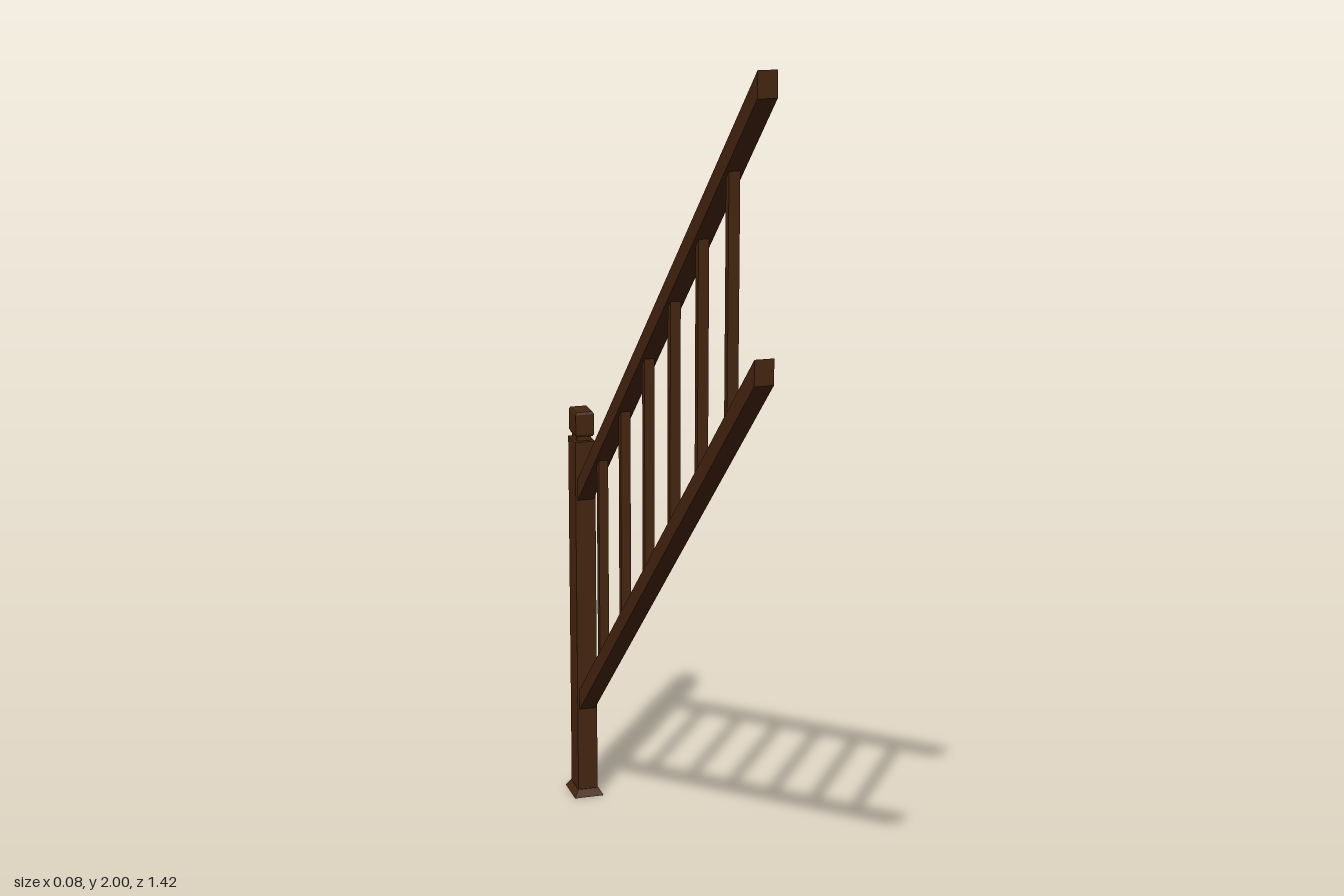
import * as THREE from 'three';

const POST_Z = -0.661;
const SLOPE = 0.872;

// Box from y0 to y1 whose bottom and top outlines [x, z] may differ
function taperedBox(y0, y1, bottom, top) {
  const geo = new THREE.BoxGeometry(1, y1 - y0, 1);
  const p = geo.attributes.position;
  for (let i = 0; i < p.count; i++) {
    const size = p.getY(i) > 0 ? top : bottom;
    p.setX(i, p.getX(i) * size[0]);
    p.setZ(i, p.getZ(i) * size[1]);
  }
  geo.translate(0, (y0 + y1) / 2, 0);
  geo.computeVertexNormals();
  return geo;
}

// Box along z sheared upward, so that its ends stay vertical
function slopedBox(width, height, z0, z1, yAtZero) {
  const geo = new THREE.BoxGeometry(width, height, z1 - z0);
  geo.translate(0, yAtZero, (z0 + z1) / 2);
  const p = geo.attributes.position;
  for (let i = 0; i < p.count; i++) p.setY(i, p.getY(i) + SLOPE * p.getZ(i));
  geo.computeVertexNormals();
  return geo;
}

export function createModel() {
  const model = new THREE.Group();
  const wood = new THREE.MeshStandardMaterial({ color: 0x47260f });
  wood.name = 'darkWood';

  const add = (name, geo, parent) => {
    const mesh = new THREE.Mesh(geo, wood);
    mesh.name = name;
    parent.add(mesh);
    return mesh;
  };

  // Newel post: flared foot, shaft, narrow neck and bevelled cap
  const post = new THREE.Group();
  post.name = 'newelPost';
  post.position.z = POST_Z;
  model.add(post);
  add('foot', taperedBox(0, 0.018, [0.075, 0.094], [0.052, 0.072]), post);
  add('shaft', taperedBox(0.01, 0.93, [0.05, 0.068], [0.05, 0.068]), post);
  add('neck', taperedBox(0.925, 0.95, [0.036, 0.046], [0.036, 0.046]), post);
  const rings = [[0.942, 0.04, 0.06], [0.948, 0.046, 0.066], [0.998, 0.046, 0.066], [1.004, 0.04, 0.06]];
  for (let i = 0; i < 3; i++) {
    const [y0, x0, z0] = rings[i];
    const [y1, x1, z1] = rings[i + 1];
    add('cap' + (i + 1), taperedBox(y0, y1, [x0, z0], [x1, z1]), post);
  }

  // Handrail and lower rail
  const topY = 1.356;
  const lowY = 0.808;
  add('handrail', slopedBox(0.04, 0.053, -0.635, 0.708, topY), model);
  add('lowerRail', slopedBox(0.04, 0.053, -0.635, 0.708, lowY), model);

  // Balusters, evenly spaced between the rails
  for (let i = 0; i < 6; i++) {
    const z = 0.508 - i * 0.1954;
    const baluster = add('baluster' + (i + 1), new THREE.BoxGeometry(0.023, topY - lowY, 0.019), model);
    baluster.position.set(0, (topY + lowY) / 2 + SLOPE * z, z);
  }
  return model;
}
